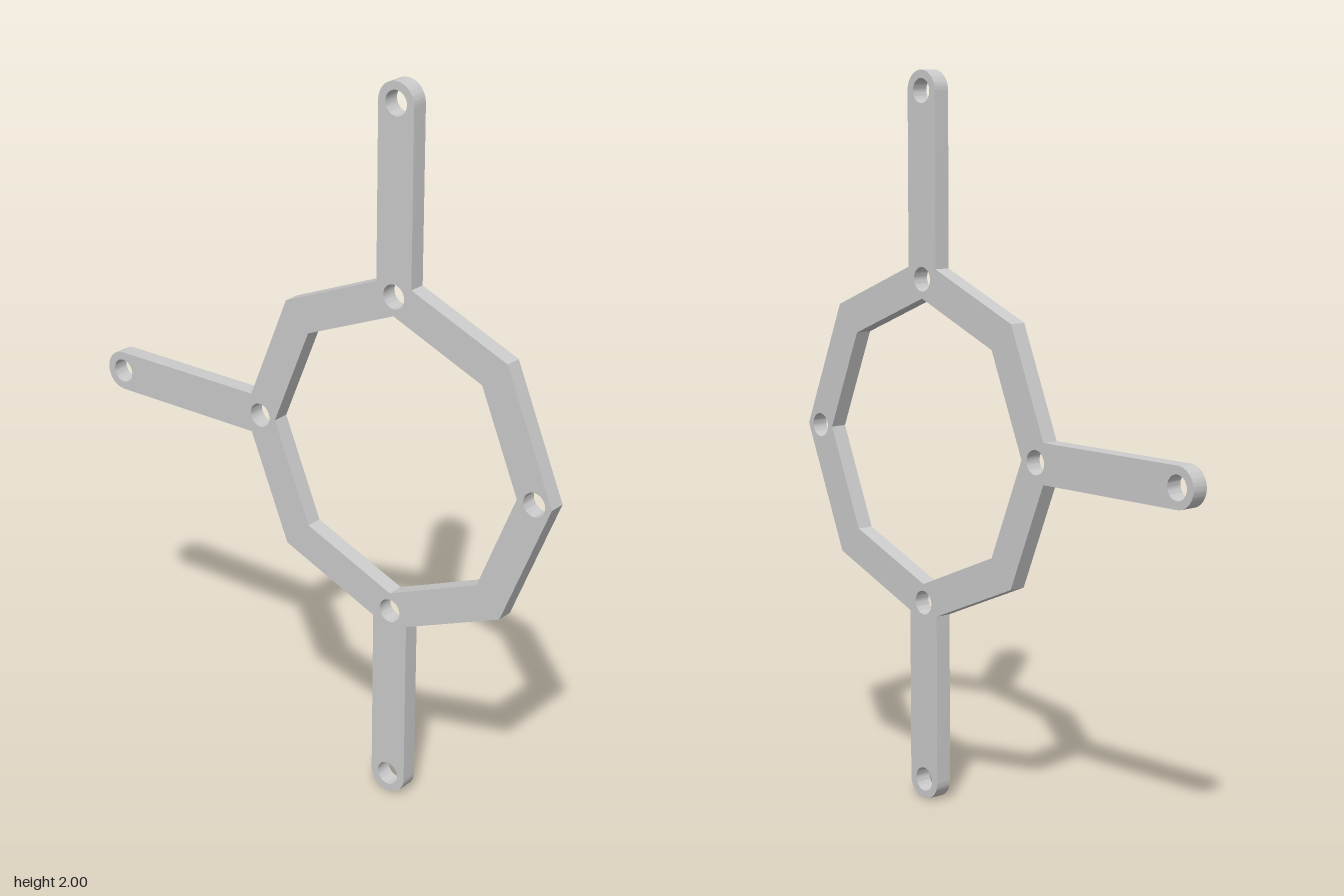
import * as THREE from 'three';
import { toCreasedNormals } from 'three/addons/utils/BufferGeometryUtils.js';

const OUTER = 0.497, INNER = 0.392;        // octagon corner radii
const ARM_HALF = 0.055, ARM_REACH = 0.945; // arm half width, distance to tip hole
const HOLE = 0.033, RING_HOLE = 0.444;     // bolt hole radius, distance of ring holes
const THICK = 0.047;

const polar = (r, a) => new THREE.Vector2(r * Math.cos(a), r * Math.sin(a));

function boltHole(r, a) {
  const c = polar(r, a);
  return new THREE.Path().absarc(c.x, c.y, HOLE, 0, Math.PI * 2, true);
}

export function createModel() {
  const group = new THREE.Group();
  const plate = new THREE.Shape();
  const inner = [];
  // where an arm's side meets the octagon's edge
  const root = OUTER - ARM_HALF * Math.tan(Math.PI / 8);

  for (let k = 0; k < 8; k++) {
    const a = (k * Math.PI) / 4;
    const hasArm = k === 2 || k === 4 || k === 6;
    if (hasArm) {
      // arm with a rounded tip: top, side, bottom
      const dir = polar(1, a), side = polar(ARM_HALF, a + Math.PI / 2);
      const tip = polar(ARM_REACH, a);
      plate.lineTo(dir.x * root - side.x, dir.y * root - side.y);
      plate.absarc(tip.x, tip.y, ARM_HALF, a - Math.PI / 2, a + Math.PI / 2, false);
      plate.lineTo(dir.x * root + side.x, dir.y * root + side.y);
      plate.holes.push(boltHole(ARM_REACH, a));
    } else {
      const p = polar(OUTER, a);
      if (k === 0) plate.moveTo(p.x, p.y);
      else plate.lineTo(p.x, p.y);
    }
    if (k % 2 === 0) plate.holes.push(boltHole(RING_HOLE, a));
    inner.unshift(polar(INNER, a));
  }
  plate.closePath();
  // octagonal opening
  const opening = new THREE.Path(inner);
  opening.closePath();
  plate.holes.push(opening);

  const geometry = new THREE.ExtrudeGeometry(plate, { depth: THICK, bevelEnabled: false, curveSegments: 16 });
  geometry.translate(0.2515, 1, -THICK / 2);

  const frame = new THREE.Mesh(
    toCreasedNormals(geometry, Math.PI / 7),
    new THREE.MeshStandardMaterial({ color: 0xcccccc })
  );
  frame.name = 'octagonalFrameWithArms';
  group.add(frame);
  return group;
}
